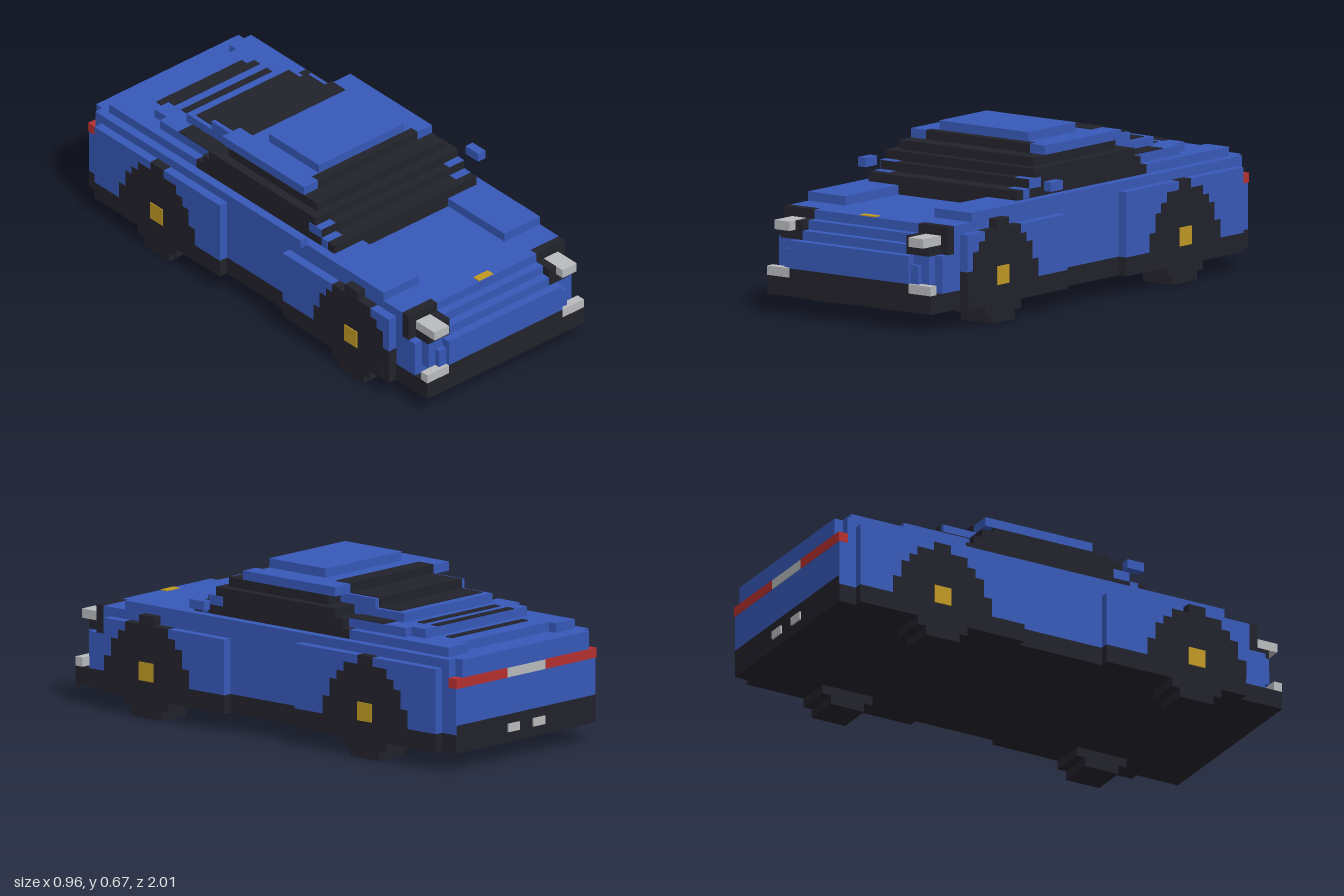
import * as THREE from 'three';

const U = 1 / 27; // one block

export function createModel() {
  const car = new THREE.Group();
  car.name = 'blockCar';
  const mat = (name, color) => {
    const m = new THREE.MeshStandardMaterial({ color });
    m.name = name;
    return m;
  };
  const blue = mat('blue paint', 0x3759b8);
  const dark = mat('black trim', 0x22222b);
  const grey = mat('light grey', 0xb9bbbd);
  const red = mat('red lamp', 0xb5302f);
  const gold = mat('gold', 0xbf9924);

  // box given by its limits, in blocks
  const box = (name, m, x0, x1, y0, y1, z0, z1) => {
    const g = new THREE.BoxGeometry((x1 - x0) * U, (y1 - y0) * U, (z1 - z0) * U);
    const mesh = new THREE.Mesh(g, m);
    mesh.position.set((x0 + x1) / 2 * U, (y0 + y1) / 2 * U, (z0 + z1) / 2 * U);
    mesh.name = name;
    car.add(mesh);
  };
  // centred box of half width w
  const mid = (name, m, w, y0, y1, z0, z1) => box(name, m, -w, w, y0, y1, z0, z1);
  // mirrored pair of boxes
  const pair = (name, m, x0, x1, y0, y1, z0, z1) => {
    box(name + 'Left', m, x0, x1, y0, y1, z0, z1);
    box(name + 'Right', m, -x1, -x0, y0, y1, z0, z1);
  };

  // chassis, sills and bumpers
  mid('chassis', dark, 11, 2, 4, -27, 27);
  pair('frontSill', dark, 11, 12, 2, 4, 5, 22);
  pair('rearSill', dark, 11, 12, 2, 4, -25, -5);
  mid('frontBumperTop', dark, 8, 4, 5, 25, 27);
  mid('rearBumperTop', dark, 10.95, 4, 5, -27.05, -26.5);

  // main body and wider fenders
  mid('lowerBody', blue, 11, 4, 8, -27, 25);
  mid('upperBody', blue, 11, 8, 10, -27, 23);
  mid('shoulder', blue, 11, 10, 11, -26, 23);
  mid('tailTop', blue, 10, 10, 12, -27, -26);
  mid('deckBase', blue, 11, 11, 12, -26, 10);
  pair('bonnetRidge', blue, 6, 11, 11, 12, 10, 20);
  pair('frontFender', blue, 11, 12, 4, 10, 5, 22);
  pair('rearFender', blue, 11, 12, 4, 11, -25, -5);

  // stepped nose
  mid('noseTop', blue, 7, 10, 11, 23, 24);
  mid('noseUpper', blue, 7, 9, 10, 23, 25);
  mid('noseMiddle', blue, 7, 8, 9, 23, 26);
  mid('noseLower', blue, 10, 5, 8, 25, 26);
  mid('noseFace', blue, 9, 5, 7, 26, 26.6);
  mid('noseFront', blue, 8, 5, 8, 26, 27);
  mid('bonnetBadge', gold, 1, 11, 11.1, 23, 23.9);

  // headlights and corner lamps
  pair('headlightHousing', dark, 7, 11, 8, 11, 23, 24);
  pair('headlightShelf', dark, 7, 10, 8, 9, 24, 26);
  pair('headlightInner', dark, 7, 8, 9, 10, 24, 26);
  pair('headlight', grey, 8, 10, 9, 10, 24, 27);
  pair('cornerLamp', grey, 8, 11, 4, 5, 26, 27);

  // cabin glass, narrowing upwards: half width, bottom, top, back, front
  [
    [6, 11, 12, 10, 11],
    [10, 12, 13, -11, 11],
    [10, 13, 14, -10, 9],
    [10, 14, 15, -9, 8],
    [9, 15, 16, -7, 7],
    [7, 16, 17, 4, 5],
  ].forEach((r) => mid('cabinGlass', dark, ...r));
  pair('pillarLower', blue, 8, 10.05, 12.05, 13.05, 9, 10);
  pair('pillarUpper', blue, 8, 10.05, 13, 14.05, 7, 8.95);

  // roof
  mid('roofEdge', blue, 9, 16, 17, -8, 4);
  pair('roofCorner', blue, 7, 9, 16, 17, 4, 5);
  mid('roofPanel', blue, 6, 17, 18, -4, 4);

  // stepped rear slope
  mid('rearSlope', blue, 7, 15, 16, -12, -7);
  mid('rearSlope', blue, 7, 14, 15, -16, -9);
  mid('rearSlope', blue, 9, 13, 14, -18, -10);
  mid('rearSlope', blue, 8, 13, 14, -20, -18);
  mid('rearSlope', blue, 10, 12, 13, -24, -11);
  pair('rearDeckCorner', blue, 7, 10, 12, 13, -25, -24);
  pair('quarterGlass', dark, 7, 9, 14, 14.1, -15, -10);

  // rear window laid over the steps
  [[16, 17, -8, -6], [15, 16, -12, -8], [14, 15, -15, -12]].forEach(([y0, y1, z0, z1]) =>
    mid('rearWindow', dark, 6.5, y0 + 0.05, y1 + 0.1, z0 - (z0 > -15 ? 0.1 : 0), z1));

  // engine cover slots
  [[14, -18], [14, -20], [13, -22]].forEach(([y, z]) =>
    mid('engineSlot', dark, 6, y, y + 0.1, z + 0.05, z + 0.95));

  // tail lights, rear plate and exhausts
  pair('tailLight', red, 3, 11.05, 9, 10.05, -27.1, -26);
  mid('rearPlate', grey, 3, 9, 10, -27.1, -26.5);
  pair('exhaust', grey, 1.1, 2.9, 3.1, 4, -27.2, -26.5);

  // door mirrors
  pair('mirror', blue, 12, 13, 13, 14, 7, 9);

  // wheels stacked from rows: bottom, top, half length
  const rows = [[0, 1, 2], [1, 2, 3], [2, 4, 5], [4, 6, 6], [6, 8, 5], [8, 9, 4], [9, 10, 3], [10, 11, 1]];
  [['front', 16], ['rear', -15]].forEach(([end, z]) => {
    rows.forEach(([y0, y1, h]) =>
      pair(end + 'Tyre', dark, 8, 12.04, y0, y1 + (y1 > 9 ? 0.04 : 0), z - h - 0.03, z + h + 0.03));
    pair(end + 'Hub', gold, 12, 12.15, 4, 6, z - 1, z + 1);
  });

  return car;
}
